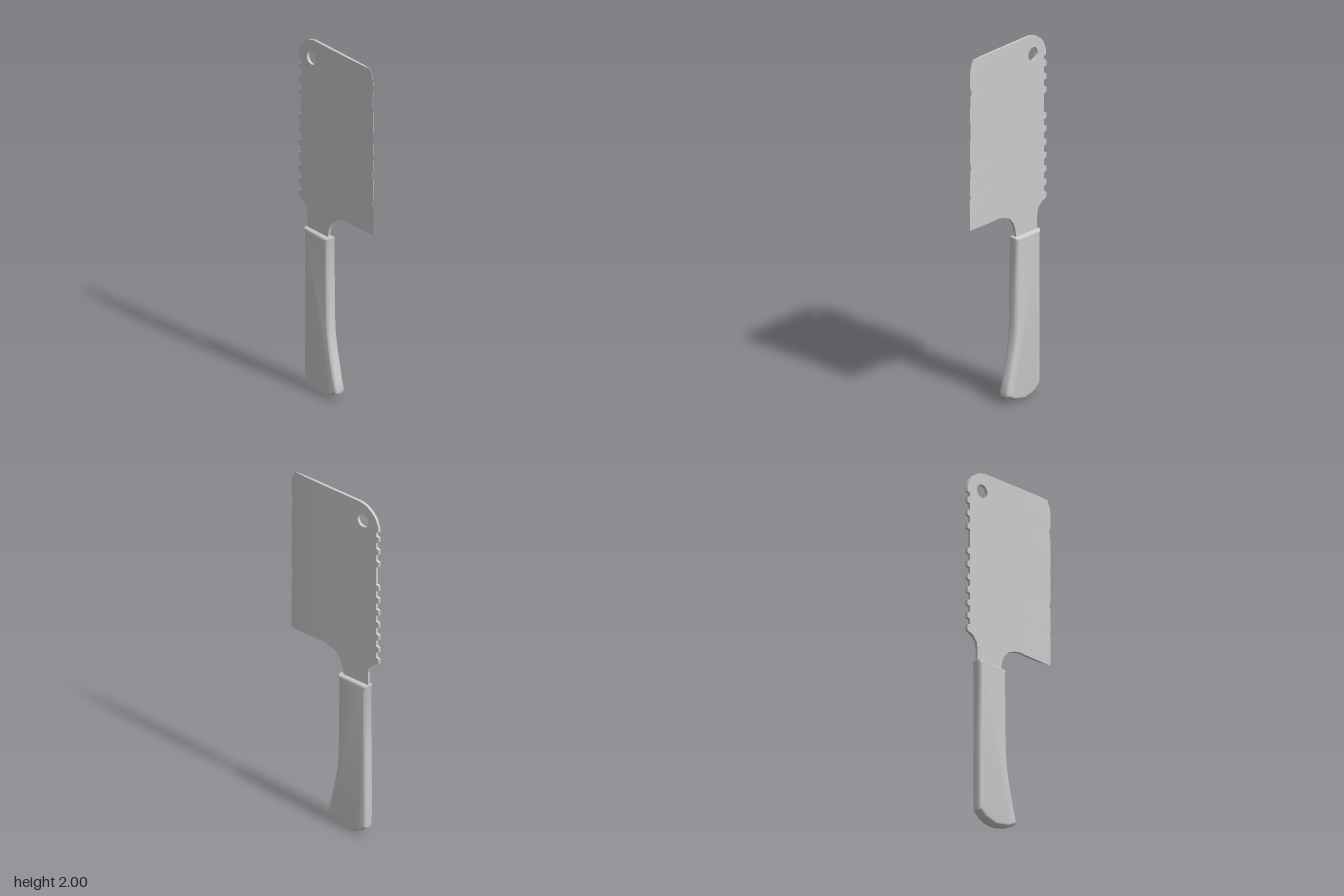
import * as THREE from 'three';
import { toCreasedNormals } from 'three/addons/utils/BufferGeometryUtils.js';

const material = new THREE.MeshStandardMaterial({ color: 0xcccccc });
const HALF = 0.008; // half thickness of the blade
const JOIN = 0.1;   // z where the flat blade meets the ground edge

const outline = (points) => new THREE.Shape(points.map(([z, y]) => new THREE.Vector2(z, y)));

// Extrudes a side profile drawn in (z, y) and centres it on x = 0
function extrudeSide(shape, options) {
  const geometry = new THREE.ExtrudeGeometry(shape, options);
  geometry.translate(0, 0, -options.depth / 2);
  geometry.rotateY(-Math.PI / 2);
  return toCreasedNormals(geometry, 0.6);
}

function addPart(group, name, geometry) {
  const mesh = new THREE.Mesh(geometry, material);
  mesh.name = name;
  group.add(mesh);
}

// Flat blade with a toothed spine, hanging hole and neck
function bladeGeometry() {
  const points = [[JOIN, 2], [-0.18, 2], [-0.22, 1.99], [-0.255, 1.968], [-0.285, 1.935], [-0.302, 1.89], [-0.302, 1.86]];
  const teeth = [1.815, 1.741, 1.666, 1.523, 1.449, 1.375, 1.301, 1.226, 1.152];
  points.push([-0.285, 1.857]);
  for (const y of teeth) {
    points.push([-0.285, y + 0.02], [-0.304, y + 0.014], [-0.304, y - 0.014], [-0.285, y - 0.02]);
  }
  points.push([-0.285, 1.103], [-0.304, 1.097], [-0.304, 1.067]);
  // spine shoulder and neck
  points.push([-0.26, 1.047], [-0.237, 1.02], [-0.23, 0.98], [-0.23, 0.87], [-0.06, 0.87]);
  // heel curve
  points.push([-0.06, 0.92], [-0.052, 0.965], [-0.037, 1.0], [-0.01, 1.03], [0.03, 1.049], [0.07, 1.057], [JOIN, 1.059]);
  const shape = outline(points);
  const hole = new THREE.Path();
  hole.absarc(-0.197, 1.893, 0.038, 0, Math.PI * 2, true);
  shape.holes.push(hole);
  return extrudeSide(shape, { depth: HALF * 2, bevelEnabled: false, curveSegments: 10 });
}

// Ground cutting edge with small nicks, lofted from bottom to top
function edgeGeometry() {
  const rows = [
    [0.305, 1.056], [0.305, 1.225], [0.297, 1.237], [0.304, 1.252], [0.302, 1.385], [0.294, 1.4],
    [0.303, 1.425], [0.305, 1.5], [0.301, 1.6], [0.304, 1.7], [0.301, 1.79], [0.293, 1.82],
    [0.304, 1.855], [0.305, 1.91], [0.298, 1.96], [0.28, 2],
  ];
  const n = 6;
  const positions = [];
  const index = [];
  rows.forEach(([edge, y], r) => {
    const section = [[-HALF, JOIN], [-0.006, 0.22], [-0.001, edge], [0.001, edge], [0.006, 0.22], [HALF, JOIN]];
    for (const [x, z] of section) positions.push(x, y, z);
    if (r === 0) return;
    for (let i = 0; i < n - 1; i++) {
      const a = (r - 1) * n + i;
      index.push(a, a + 1, a + n + 1, a, a + n + 1, a + n);
    }
  });
  // bottom and top ends
  const top = (rows.length - 1) * n;
  for (let i = 1; i < n - 1; i++) index.push(0, i + 1, i, top, top + i, top + i + 1);
  const geometry = new THREE.BufferGeometry();
  geometry.setAttribute('position', new THREE.Float32BufferAttribute(positions, 3));
  geometry.setIndex(index);
  return toCreasedNormals(geometry, 0.6);
}

// Rounded grip that flares forward at the butt
function handleGeometry() {
  const shape = outline([
    [-0.041, 0.915], [-0.237, 0.915], [-0.237, 0.9], [-0.231, 0.885], [-0.233, 0.5], [-0.234, 0.12],
    [-0.23, 0.058], [-0.19, 0.025], [-0.15, 0.01], [-0.11, 0.004], [-0.07, 0.01], [-0.02, 0.024], [0.03, 0.05],
    [0.034, 0.07], [0.016, 0.13], [0, 0.2], [-0.018, 0.28], [-0.033, 0.37], [-0.038, 0.45],
    [-0.04, 0.6], [-0.045, 0.885], [-0.041, 0.9],
  ]);
  return extrudeSide(shape, {
    depth: 0.022, bevelEnabled: true, bevelThickness: 0.02, bevelSize: 0.015, bevelOffset: -0.015, bevelSegments: 3,
  });
}

export function createModel() {
  const group = new THREE.Group();
  group.name = 'cleaver';
  addPart(group, 'blade', bladeGeometry());
  addPart(group, 'cuttingEdge', edgeGeometry());
  addPart(group, 'handle', handleGeometry());
  return group;
}
